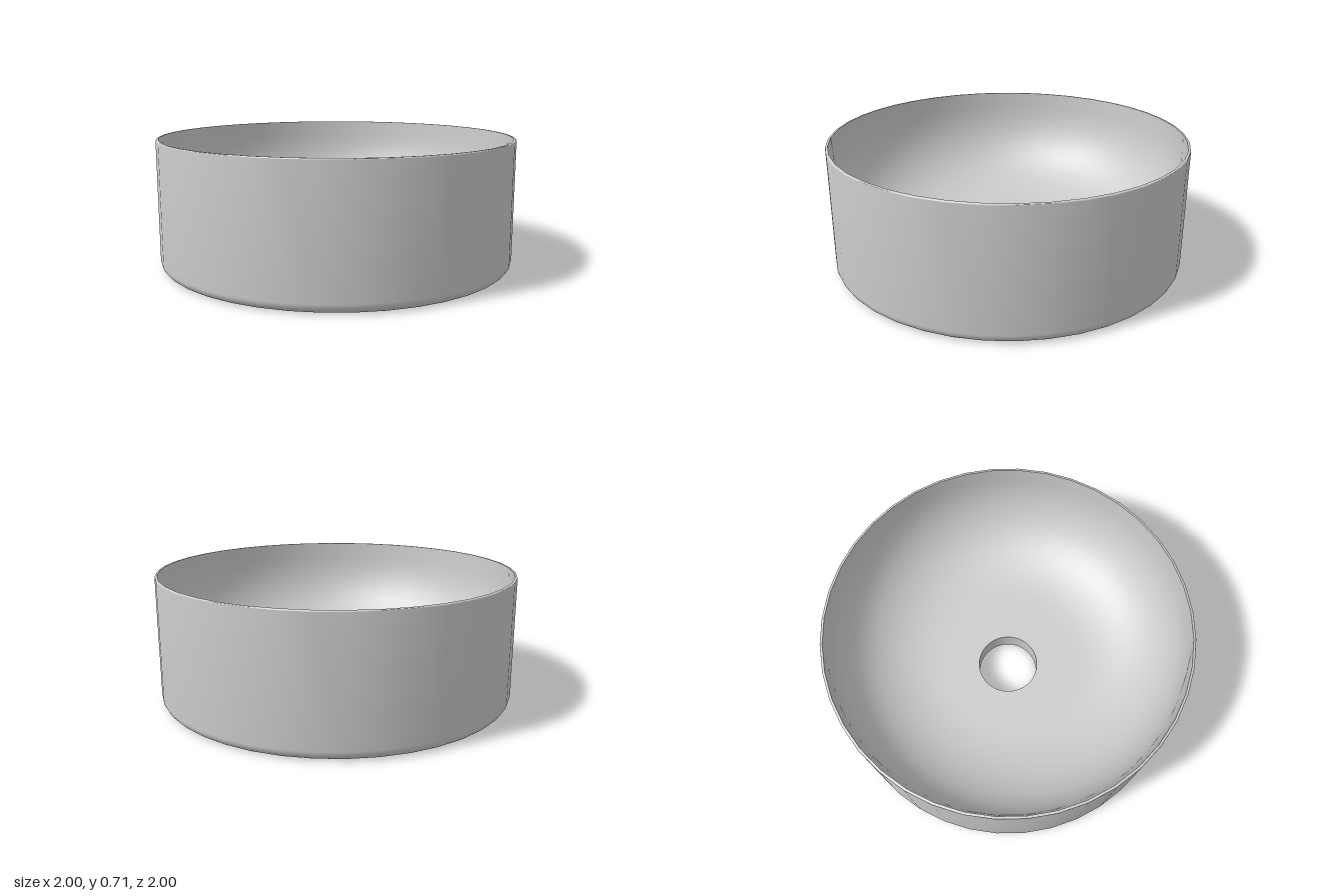
import * as THREE from 'three';
import { toCreasedNormals } from 'three/addons/utils/BufferGeometryUtils.js';

const R = 1;             // outer radius
const H = 0.715;         // height
const HOLE = 0.175;      // drain radius
const FLOOR = 0.13;      // floor thickness at the drain
const SEGMENTS = 40;

export function createModel() {
  const group = new THREE.Group();
  group.name = 'vesselBasin';

  // Closed cross-section: underside, outer wall, rim, bowl, drain wall
  const section = new THREE.Path();
  section.moveTo(HOLE, 0);
  section.lineTo(R - 0.05, 0);
  section.absarc(R - 0.05, 0.05, 0.05, -Math.PI / 2, 0, false);
  section.lineTo(R, H - 0.006);
  section.absarc(R - 0.006, H - 0.006, 0.006, 0, Math.PI / 2, false);
  section.lineTo(R - 0.014, H);
  section.lineTo(R - 0.018, 0.62);
  section.bezierCurveTo(0.965, 0.34, 0.78, FLOOR, 0.4, FLOOR);
  section.lineTo(HOLE, FLOOR);
  section.lineTo(HOLE, 0);

  const lathe = new THREE.LatheGeometry(section.getPoints(14), SEGMENTS);
  const material = new THREE.MeshStandardMaterial({ color: 0xcccccc });
  const basin = new THREE.Mesh(toCreasedNormals(lathe, 0.6), material);
  basin.name = 'basin';
  group.add(basin);

  return group;
}
